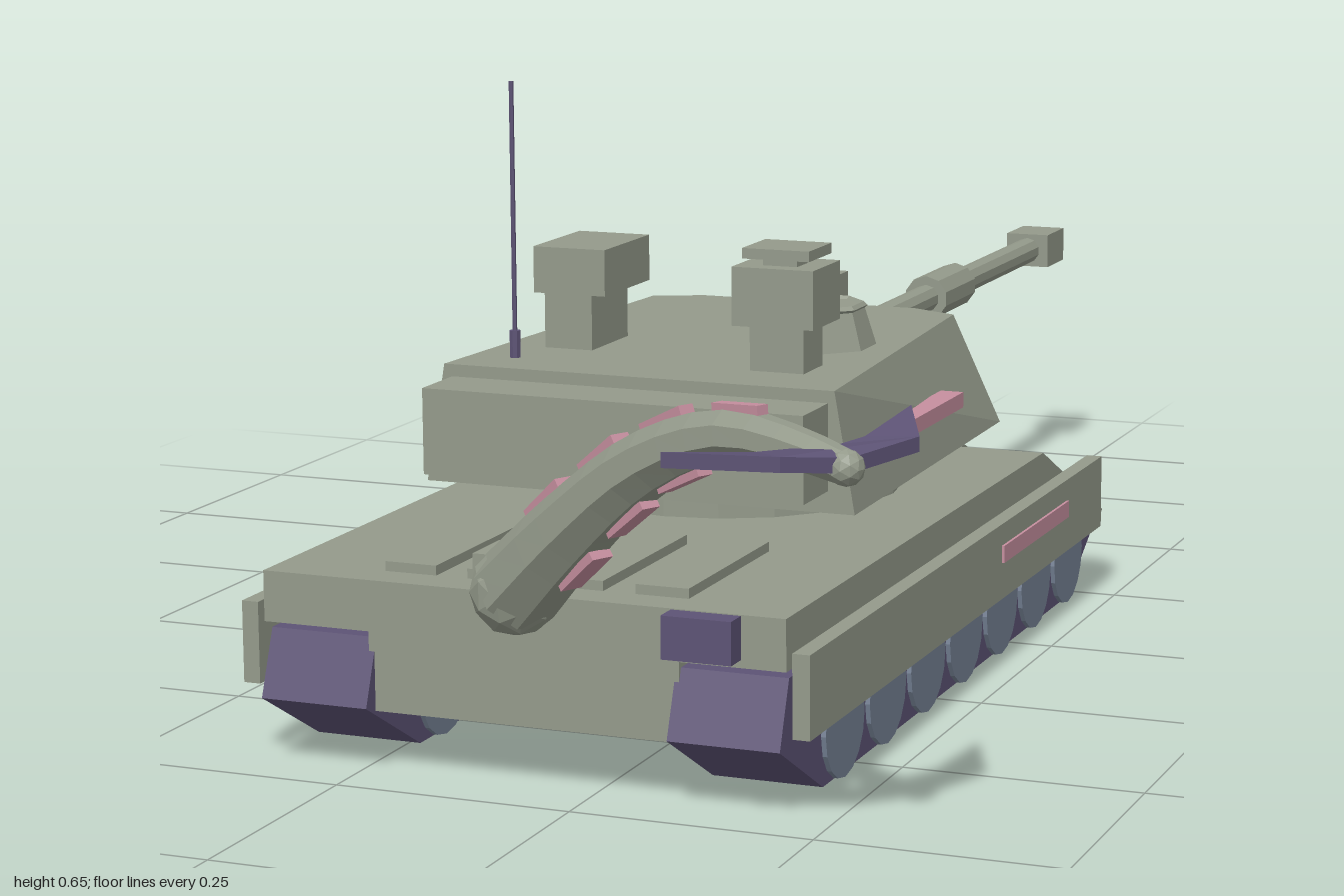
import * as THREE from 'three';

const material = (name, color) => {
  const m = new THREE.MeshStandardMaterial({ color, flatShading: true });
  m.name = name;
  return m;
};

export function createModel() {
  const model = new THREE.Group();
  const armour = material('armour grey green', 0x949a8b);
  const purple = material('dark purple', 0x5d5375);
  const slate = material('slate blue', 0x758194);
  const pink = material('pink', 0xc68f9f);
  const CX = -0.075; // centre line of hull and gun

  const add = (name, geometry, mat, parent = model) => {
    const mesh = new THREE.Mesh(geometry, mat);
    mesh.name = name;
    parent.add(mesh);
    return mesh;
  };
  // Box given by its limits on each axis
  const box = (name, mat, [x0, x1], [y0, y1], [z0, z1]) => {
    const m = add(name, new THREE.BoxGeometry(x1 - x0, y1 - y0, z1 - z0), mat);
    m.position.set((x0 + x1) / 2, (y0 + y1) / 2, (z0 + z1) / 2);
    return m;
  };
  // Side profile of (z, y) points swept from x0 to x1
  const sideProfile = (name, mat, points, x0, x1) => {
    const shape = new THREE.Shape(points.map(p => new THREE.Vector2(...p)));
    const g = new THREE.ExtrudeGeometry(shape, { depth: x1 - x0, bevelEnabled: false });
    g.rotateY(-Math.PI / 2).translate(x1, 0, 0);
    return add(name, g, mat);
  };
  // Cylinder lying along z
  const rod = (name, mat, r, z0, z1, x, y, sides = 10) => {
    const g = new THREE.CylinderGeometry(r, r, z1 - z0, sides).rotateX(Math.PI / 2);
    return add(name, g.translate(x, y, (z0 + z1) / 2), mat);
  };

  // Hull with sloping nose
  sideProfile('upperHull', armour, [[0.7, 0.145], [0.7, 0.197], [-0.11, 0.197],
    [-0.352, 0.08], [-0.335, 0.068], [-0.2, 0.145]], -0.353, 0.204);
  sideProfile('lowerHull', armour, [[0.695, 0.063], [0.695, 0.15], [-0.2, 0.15],
    [-0.345, 0.08], [-0.32, 0.063]], -0.24, 0.092);
  sideProfile('glacisPlate', armour, [[-0.09, 0.19], [-0.09, 0.222], [-0.28, 0.128],
    [-0.28, 0.11]], -0.245, 0.095);

  // Tracks, with wheels showing on the +x face of each
  for (const x0 of [-0.35, 0.087]) {
    sideProfile('track', purple, [[0.69, 0.137], [-0.265, 0.14], [-0.34, 0.08],
      [-0.21, 0.004], [0.6, 0.004], [0.715, 0.07]], x0, x0 + 0.116);
    for (let i = 0; i < 7; i++) {
      const g = new THREE.CylinderGeometry(0.055, 0.055, 0.02, 16).rotateZ(Math.PI / 2);
      add('wheel', g.translate(x0 + 0.111, 0.056, 0.55 - i * 0.125), slate);
    }
  }

  // Side skirts and their stripes
  for (const s of [-1, 1]) {
    const x = CX + s * 0.294;
    box('sideSkirt', armour, [x - 0.009, x + 0.009], [0.08, 0.164], [-0.265, 0.7]);
    const p = CX + s * 0.303;
    box('skirtStripe', pink, [p - 0.003, p + 0.003], [0.121, 0.14], [-0.125, 0.115]);
  }

  // Engine deck bars and rear box
  for (let i = 0; i < 4; i++) {
    const x = -0.21 + i * 0.09;
    box('deckBar', armour, [x - 0.028, x + 0.028], [0.19, 0.207], [0.45, 0.66]);
  }
  box('deckBox', armour, [-0.142, -0.05], [0.2, 0.223], [0.6, 0.66]);
  box('rearStowageBox', purple, [0.086, 0.158], [0.153, 0.196], [0.69, 0.725]);

  // Turret: lower and upper outlines joined by faces
  const half = (pts) => [...pts.map(([w, z]) => [CX - w, z]), ...pts.slice().reverse().map(([w, z]) => [CX + w, z])];
  const low = half([[0.241, 0.41], [0.23, -0.1], [0.16, -0.165]]);
  const high = half([[0.219, 0.41], [0.185, -0.065], [0.13, -0.09]]);
  const tri = [];
  const v = (list, i, y) => [list[i % 6][0], y, list[i % 6][1]];
  const Y0 = 0.232, Y1 = 0.359;
  for (let i = 0; i < 6; i++) {
    const a = v(low, i, Y0), b = v(low, i + 1, Y0), c = v(high, i + 1, Y1), d = v(high, i, Y1);
    tri.push(...a, ...c, ...b, ...a, ...d, ...c);
    if (i > 0 && i < 5) {
      tri.push(...v(high, 0, Y1), ...v(high, i + 1, Y1), ...v(high, i, Y1));
      tri.push(...v(low, 0, Y0), ...v(low, i, Y0), ...v(low, i + 1, Y0));
    }
  }
  const turret = new THREE.BufferGeometry();
  turret.setAttribute('position', new THREE.Float32BufferAttribute(tri, 3));
  turret.computeVertexNormals();
  add('turret', turret, armour);
  const ring = new THREE.CylinderGeometry(0.19, 0.19, 0.05, 20);
  add('turretRing', ring.translate(CX, 0.21, 0.15), armour);
  box('turretBustle', armour, [-0.285, 0.137], [0.255, 0.346], [0.4, 0.48]);
  box('turretStripe', pink, [0.145, 0.171], [0.283, 0.3], [0.08, 0.293]);

  // Gun
  sideProfile('mantlet', armour, [[-0.1, 0.25], [-0.1, 0.345], [-0.155, 0.345],
    [-0.205, 0.33], [-0.205, 0.275], [-0.15, 0.25]], CX - 0.064, CX + 0.064);
  rod('barrelRoot', armour, 0.024, -0.275, -0.2, CX, 0.298);
  rod('barrel', armour, 0.017, -0.94, -0.2, CX, 0.298);
  rod('barrelSleeve', armour, 0.028, -0.62, -0.505, CX, 0.298);
  box('muzzle', armour, [CX - 0.029, CX + 0.029], [0.276, 0.32], [-1, -0.927]);
  rod('coaxialGun', purple, 0.006, -0.25, -0.15, -0.028, 0.31, 6);

  // Roof fittings
  box('forwardSensor', armour, [-0.053, 0.007], [0.37, 0.413], [0, 0.06]);
  box('forwardSensorFoot', armour, [-0.038, -0.008], [0.355, 0.372], [0.015, 0.045]);
  const hatch = new THREE.CylinderGeometry(0.05, 0.064, 0.045, 8);
  add('cupola', hatch.rotateY(Math.PI / 8).translate(0.033, 0.38, 0.165), armour);
  const rim = new THREE.TorusGeometry(0.05, 0.004, 4, 8).rotateX(Math.PI / 2);
  add('cupolaRim', rim.rotateY(Math.PI / 8).translate(0.033, 0.402, 0.165), armour);
  box('sightPost', armour, [0.022, 0.082], [0.355, 0.41], [0.28, 0.335]);
  box('sightHead', armour, [0.008, 0.098], [0.408, 0.47], [0.27, 0.35]);
  box('sightCap', armour, [0.017, 0.091], [0.478, 0.489], [0.277, 0.343]);
  box('sightCapStem', armour, [0.035, 0.073], [0.468, 0.48], [0.29, 0.33]);
  box('gunnerSightBase', armour, [-0.235, -0.18], [0.355, 0.43], [0.19, 0.285]);
  box('gunnerSight', armour, [-0.243, -0.16], [0.42, 0.47], [0.175, 0.295]);
  rod('gunnerSightLens', purple, 0.018, 0.155, 0.18, -0.202, 0.445);

  // Antenna
  const mast = new THREE.CylinderGeometry(0.0025, 0.0025, 0.27, 6);
  add('antenna', mast.translate(-0.24, 0.518, 0.35), purple);
  const foot = new THREE.CylinderGeometry(0.006, 0.006, 0.032, 8);
  add('antennaBase', foot.translate(-0.24, 0.372, 0.35), purple);

  // Tapering tail, curving up and out to the side
  const curve = new THREE.CatmullRomCurve3([[-0.078, 0.2], [0, 0.275], [0.1, 0.356],
    [0.2, 0.4], [0.28, 0.402], [0.34, 0.394]].map(([x, y]) =>
    new THREE.Vector3(x, y, 0.695 + 0.5 * (x + 0.078))));
  const radius = t => 0.046 - 0.03 * t;
  const N = 14;
  const tube = new THREE.TubeGeometry(curve, N, 1, 8);
  const pos = tube.attributes.position, p = new THREE.Vector3();
  for (let i = 0; i < pos.count; i++) {
    const t = Math.floor(i / 9) / N;
    const c = curve.getPointAt(t);
    p.fromBufferAttribute(pos, i).sub(c).multiplyScalar(radius(t)).add(c);
    pos.setXYZ(i, p.x, p.y, p.z);
  }
  add('tail', tube, armour);
  add('tailRoot', new THREE.IcosahedronGeometry(0.046, 1), armour).position.copy(curve.getPoint(0));
  add('tailTip', new THREE.IcosahedronGeometry(0.017, 1), armour).position.copy(curve.getPoint(1));

  // Pink strips along the top and underside of the tail
  const side = new THREE.Vector3(-0.5, 0, 1).normalize();
  for (let i = 0; i < 4; i++) for (const s of [-1, 1]) {
    const t = 0.2 + i * 0.18;
    const tangent = curve.getTangentAt(t);
    const up = new THREE.Vector3().crossVectors(side, tangent).normalize();
    const m = add('tailStrip', new THREE.BoxGeometry(0.062, 0.009, 0.025 - i * 0.004), pink);
    m.quaternion.setFromRotationMatrix(new THREE.Matrix4().makeBasis(tangent, up, side));
    m.position.copy(curve.getPointAt(t)).addScaledVector(up, s * radius(t));
  }

  // Crescent blade with raised horns
  const outline = [[0.342, 0.74], [0.378, 0.82], [0.345, 0.905], [0.298, 0.955], [0.205, 0.998],
    [0.262, 0.92], [0.3, 0.885], [0.33, 0.83]];
  const blade = new THREE.ExtrudeGeometry(
    new THREE.Shape(outline.map(q => new THREE.Vector2(...q))), { depth: 0.014, bevelEnabled: false });
  blade.rotateX(Math.PI / 2);
  const bp = blade.attributes.position;
  for (let i = 0; i < bp.count; i++) {
    const d = Math.abs(bp.getZ(i) - 0.88);
    bp.setY(i, bp.getY(i) + 0.4 + 0.14 * d);
  }
  blade.computeVertexNormals();
  add('tailBlade', blade, purple);

  return model;
}
